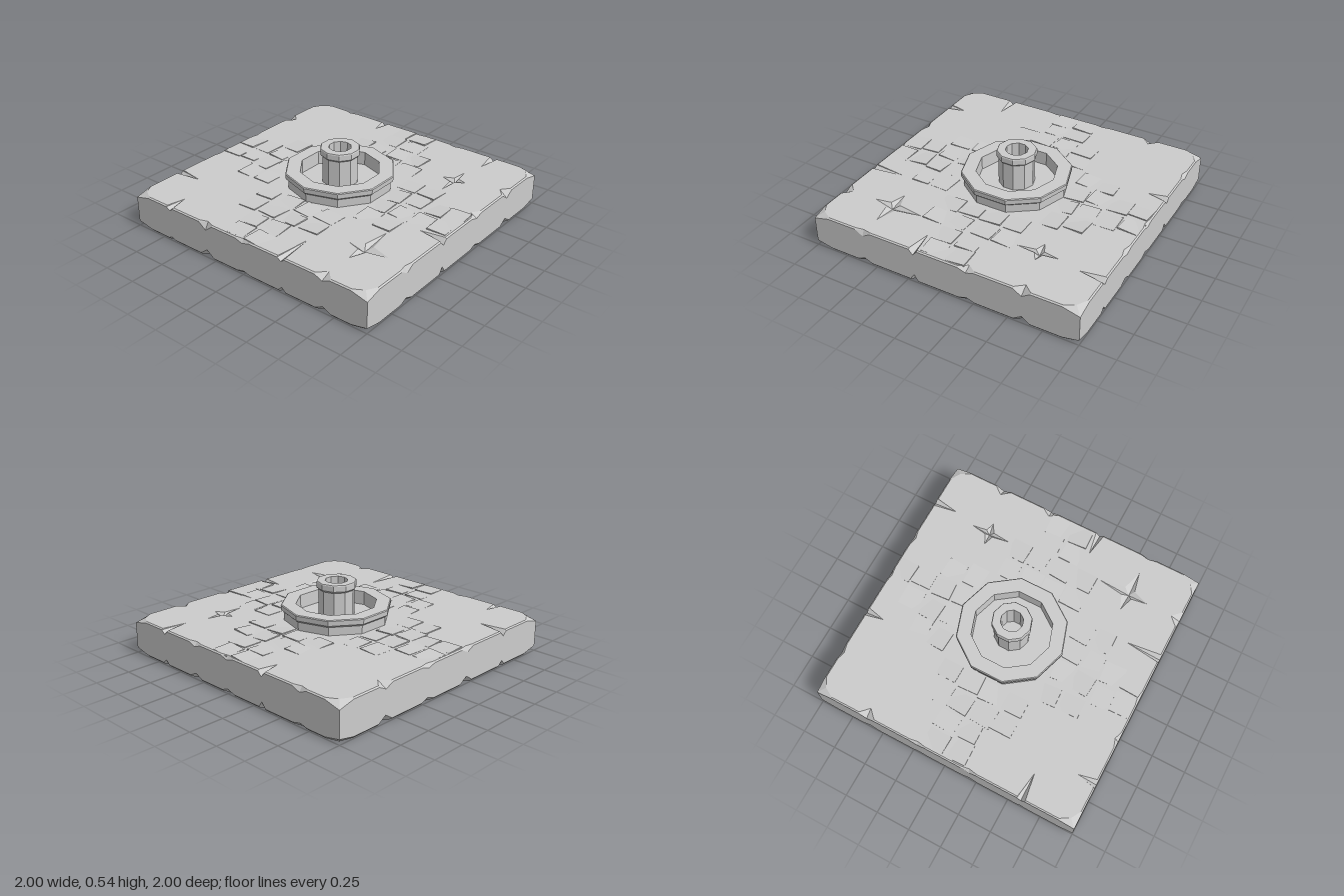
import * as THREE from 'three';

const TOP = 0.262;
const stone = new THREE.MeshStandardMaterial({ color: 0xcccccc, flatShading: true, side: THREE.DoubleSide });

function add(parent, name, geometry) {
  const mesh = new THREE.Mesh(geometry, stone);
  mesh.name = name;
  parent.add(mesh);
  return mesh;
}

function seeded(seed) {
  return () => {
    seed = (seed * 16807) % 2147483647;
    return seed / 2147483647;
  };
}

// Chips per side: [position along edge, cut into top, drop of top edge, rise of bottom edge]
const chips = [
  [[-0.67, 0.14, 0.02, 0.015], [-0.33, 0.03, 0.045, 0.045], [0, 0.02, 0.018, 0.015], [0.33, 0.26, 0.02, 0.03], [0.66, 0.07, 0.025, 0.03]],
  [[-0.6, 0.02, 0.035, 0.025], [-0.2, 0.18, 0.035, 0.045], [0.2, 0.05, 0.02, 0.02], [0.6, 0.06, 0.04, 0.04]],
  [[-0.66, 0.18, 0.025, 0.03], [-0.33, 0.025, 0.02, 0.03], [0, 0.02, 0.018, 0.02], [0.33, 0.14, 0.03, 0.04], [0.67, 0.025, 0.025, 0.015]],
  [[-0.6, 0.07, 0.03, 0.04], [-0.2, 0.02, 0.02, 0.02], [0.2, 0.02, 0.03, 0.04], [0.6, 0.2, 0.03, 0.03]],
];

// Stations around the slab; each is a cross-section of four points from bottom to top
function slabSections() {
  const sections = [];
  chips.forEach((list, side) => {
    const station = (t, cut, drop, rise, corner) => {
      const at = (inset, y) => {
        let x = corner ? t + inset : t, z = 1 - inset;
        for (let k = 0; k < side; k++) [x, z] = [z, -x];
        return [x, y, z];
      };
      sections.push([at(0.01 + rise, 0), at(0, 0.012 + rise), at(0, TOP - 0.008 - drop), at(cut, TOP)]);
    };
    station(-1, 0.05, 0.03, 0.025, true);
    station(-0.88, 0.01, 0, 0);
    for (const [t, cut, drop, rise] of list) {
      const w = cut > 0.1 ? 0.03 : 0.06;
      station(t - w, 0.01, 0, 0);
      station(t, cut, drop, rise);
      station(t + w, 0.01, 0, 0);
    }
    station(0.88, 0.01, 0, 0);
  });
  return sections;
}

function sideGeometry(sections) {
  const pos = [], index = [], n = sections.length;
  sections.forEach((s) => s.forEach((p) => pos.push(...p)));
  for (let i = 0; i < n; i++) {
    for (let k = 0; k < 3; k++) {
      const a = i * 4 + k, b = ((i + 1) % n) * 4 + k;
      index.push(a, b, b + 1, a, b + 1, a + 1);
    }
  }
  const g = new THREE.BufferGeometry();
  g.setAttribute('position', new THREE.Float32BufferAttribute(pos, 3));
  g.setIndex(index);
  g.computeVertexNormals();
  return g;
}

// Star-shaped dents: tips in x, z around a centre
const dents = [
  { c: [0.62, -0.52], tips: [[0.62, -0.66], [0.7, -0.53], [0.625, -0.36], [0.53, -0.51]] },
  { c: [0.67, 0.595], tips: [[0.67, 0.36], [0.85, 0.59], [0.66, 0.74], [0.53, 0.59]] },
];

function starOutline({ c, tips }) {
  return tips.flatMap((p, i) => {
    const q = tips[(i + 1) % 4];
    const inner = [0, 1].map((k) => c[k] + (p[k] + q[k] - 2 * c[k]) * 0.2);
    return [p, inner];
  });
}

function dentGeometry(dent) {
  const outline = starOutline(dent), pos = [];
  outline.forEach((p, i) => {
    const q = outline[(i + 1) % outline.length];
    pos.push(dent.c[0], TOP - 0.03, dent.c[1], q[0], TOP, q[1], p[0], TOP, p[1]);
  });
  const g = new THREE.BufferGeometry();
  g.setAttribute('position', new THREE.Float32BufferAttribute(pos, 3));
  g.computeVertexNormals();
  return g;
}

function lathe(points) {
  return new THREE.LatheGeometry(points.map(([r, y]) => new THREE.Vector2(r, y)), 10);
}

export function createModel() {
  const model = new THREE.Group();
  model.name = 'courtyardFountain';

  // Hollow slab with chipped edges, open underneath
  const sections = slabSections();
  add(model, 'slabSides', sideGeometry(sections));
  const flat = ([x, z]) => new THREE.Vector2(x, -z);
  const shape = new THREE.Shape(sections.map((s) => flat([s[3][0], s[3][2]])));
  const ring = Array.from({ length: 10 }, (_, i) => {
    const a = (i * Math.PI) / 5;
    return flat([0.36 * Math.sin(a), 0.36 * Math.cos(a)]);
  });
  shape.holes.push(new THREE.Path(ring));
  dents.forEach((d) => shape.holes.push(new THREE.Path(starOutline(d).map(flat))));
  add(model, 'slabTop', new THREE.ShapeGeometry(shape).rotateX(-Math.PI / 2).translate(0, TOP, 0));
  dents.forEach((d) => add(model, 'dent', dentGeometry(d)));

  // Four arms of uneven, slightly tilted paving stones
  const rand = seeded(77);
  const jitter = (a) => (rand() * 2 - 1) * a;
  const paving = new THREE.Group();
  paving.name = 'paving';
  model.add(paving);
  const rows = [[0.44, [-0.26, -0.09, 0.08, 0.25]], [0.6, [-0.25, -0.08, 0.09, 0.25]], [0.76, [-0.1, 0.08]], [0.91, [-0.09, 0.09]]];
  for (let arm = 0; arm < 4; arm++) {
    const group = new THREE.Group();
    group.name = 'pavingArm';
    group.rotation.y = (arm * Math.PI) / 2;
    paving.add(group);
    for (const [r, sides] of rows) {
      for (const s of sides) {
        const tile = add(group, 'pavingStone', new THREE.BoxGeometry(0.15 + jitter(0.015), 0.024, 0.14 + jitter(0.012)));
        tile.position.set(s + jitter(0.015), TOP - 0.009, r + jitter(0.008));
        tile.rotation.set(jitter(0.06), jitter(0.08), jitter(0.06));
      }
    }
  }

  // Ten-sided basin with a projecting lip and a floor
  add(model, 'basin', lathe([
    [0.37, 0.245], [0.373, 0.322], [0.39, 0.337], [0.393, 0.372], [0.387, 0.378],
    [0.287, 0.378], [0.285, 0.28], [0, 0.28],
  ]));

  // Hollow central pillar with a collar
  add(model, 'pillar', lathe([
    [0.128, 0.28], [0.128, 0.478], [0.142, 0.492], [0.142, 0.53], [0.138, 0.537],
    [0.08, 0.537], [0.08, 0.32], [0, 0.32],
  ]));

  return model;
}
